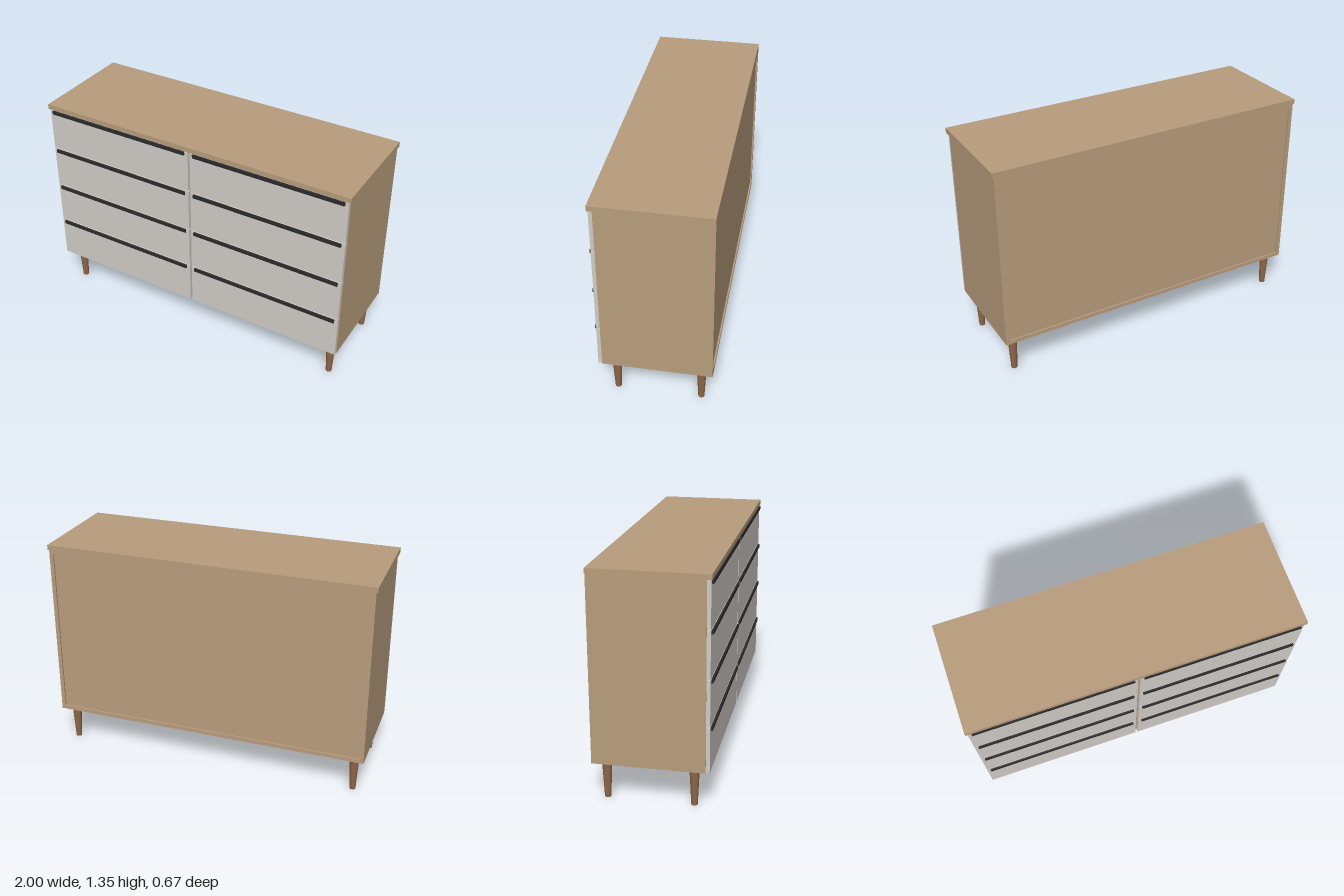
import * as THREE from 'three';

const material = (color) => new THREE.MeshStandardMaterial({ color });

export function createModel() {
  const model = new THREE.Group();
  model.name = 'dresser';
  const wood = material(0xb89d7c);
  const paint = material(0xd0ccc6);
  const dark = material(0x2b2b2b);
  const legWood = material(0x8f6749);

  // Box given by its minimum and maximum on each axis
  function board(name, mat, [x0, x1], [y0, y1], [z0, z1], parent = model) {
    const mesh = new THREE.Mesh(new THREE.BoxGeometry(x1 - x0, y1 - y0, z1 - z0), mat);
    mesh.position.set((x0 + x1) / 2, (y0 + y1) / 2, (z0 + z1) / 2);
    mesh.name = name;
    parent.add(mesh);
    return mesh;
  }

  const W = 0.99, T = 0.025;            // half width and board thickness
  const bottom = 0.229, top = 1.315;    // carcass height range
  const back = -0.336, front = 0.305;   // carcass depth range
  const inner = [-W + T, W - T];

  // Carcass
  const carcass = new THREE.Group();
  carcass.name = 'carcass';
  model.add(carcass);
  board('leftSide', wood, [W - T, W], [bottom, top], [back, front], carcass);
  board('rightSide', wood, [-W, -W + T], [bottom, top], [back, front], carcass);
  board('bottomBoard', wood, inner, [bottom, bottom + T], [back, front], carcass);
  board('upperBoard', wood, inner, [top - T, top], [back, front], carcass);
  board('backPanel', wood, inner, [bottom + T, top - T], [back + 0.01, back + 0.02], carcass);
  board('centreDivider', wood, [-T / 2, T / 2], [bottom + T, top - T], [back + 0.02, front], carcass);

  // Overhanging top
  board('topBoard', wood, [-1, 1], [top, 1.345], [back, 0.333]);

  // Two columns of four drawers, each with a slim pull along its upper edge
  const pitch = 0.271, height = 0.266;
  for (let row = 0; row < 4; row++) {
    const y = 0.232 + row * pitch;
    if (row > 0) {
      board('drawerRail', wood, inner, [y - 0.014, y + 0.009], [front - 0.06, front - 0.001], carcass);
    }
    for (const side of [-1, 1]) {
      const drawer = new THREE.Group();
      drawer.name = 'drawer';
      model.add(drawer);
      const cx = side * 0.4975;
      board('drawerFront', paint, [cx - 0.4905, cx + 0.4905], [y, y + height], [front, 0.327], drawer);
      board('drawerPull', dark, [cx - 0.469, cx + 0.469], [y + 0.243, y + 0.264], [0.323, 0.338], drawer);
    }
  }

  // Tapered round legs
  const legGeometry = new THREE.CylinderGeometry(0.029, 0.018, bottom, 24);
  for (const x of [-0.923, 0.923]) {
    for (const z of [-0.264, 0.232]) {
      const leg = new THREE.Mesh(legGeometry, legWood);
      leg.position.set(x, bottom / 2, z);
      leg.name = 'leg';
      model.add(leg);
    }
  }
  return model;
}
